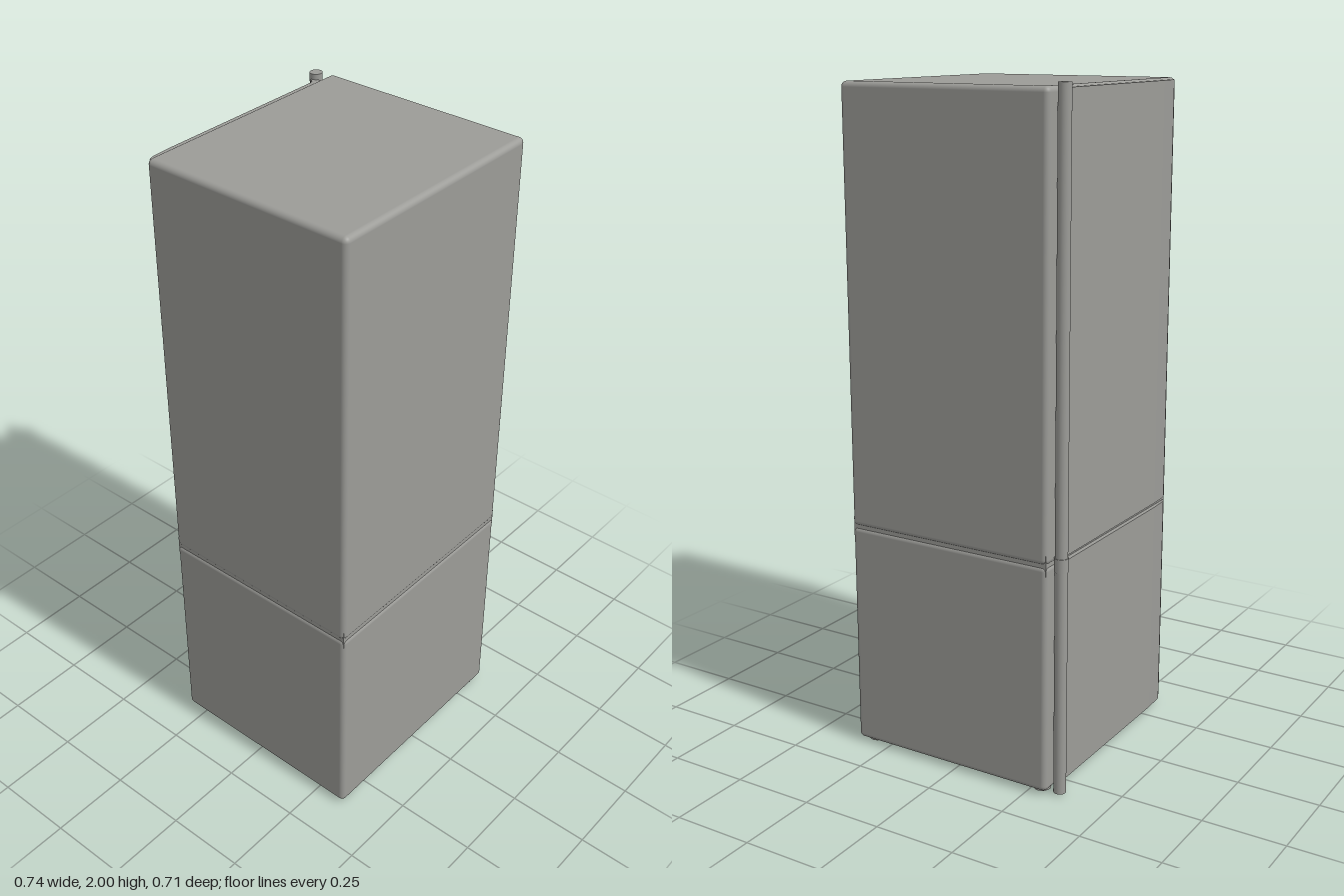
import * as THREE from 'three';
import { RoundedBoxGeometry } from 'three/addons/geometries/RoundedBoxGeometry.js';

export function createModel() {
  const model = new THREE.Group();
  model.name = 'cabinet';
  const grey = new THREE.MeshStandardMaterial({ color: 0x9c9c98 });
  grey.name = 'satin grey';

  const add = (name, geometry, x, y, z) => {
    const mesh = new THREE.Mesh(geometry, grey);
    mesh.name = name;
    mesh.position.set(x, y, z);
    model.add(mesh);
    return mesh;
  };

  const split = 0.7;
  const sections = [
    ['lower', 0.012, split - 0.001],
    ['upper', split + 0.001, 1.99],
  ];

  // Back panel outline, seen from above (x, -z), flaring into the pole
  const panel = new THREE.Shape();
  panel.moveTo(-0.362, 0.305);
  panel.quadraticCurveTo(-0.358, 0.317, -0.335, 0.32);
  panel.lineTo(-0.27, 0.323);
  panel.lineTo(0.285, 0.324);
  panel.quadraticCurveTo(0.299, 0.325, 0.302, 0.337);
  panel.lineTo(0.314, 0.342);
  panel.lineTo(0.33, 0.33);
  panel.quadraticCurveTo(0.314, 0.32, 0.312, 0.312);
  panel.lineTo(0.295, 0.305);
  panel.closePath();

  for (const [label, bottom, top] of sections) {
    // Rounded shell of each section; their rounded edges form the seam
    const height = top - bottom;
    add(label + 'Body', new RoundedBoxGeometry(0.738, height, 0.669, 4, 0.016),
      0, (top + bottom) / 2, 0.0205);

    // Thin panel over the back, stopping short of the seam
    const low = label === 'upper' ? split + 0.007 : 0.018;
    const high = label === 'upper' ? 1.984 : split - 0.007;
    const plate = new THREE.ExtrudeGeometry(panel, {
      depth: high - low, bevelEnabled: false, curveSegments: 6,
    });
    plate.rotateX(-Math.PI / 2);
    add(label + 'BackPanel', plate, 0, low, 0);
  }

  // Core that closes the bottom of the seam
  add('seamCore', new THREE.BoxGeometry(0.73, 0.06, 0.661), 0, split, 0.0205);

  // Full-height round pole on the back corner, with a small collar at the seam
  add('pole', new THREE.CylinderGeometry(0.0185, 0.0185, 1.995, 24), 0.326, 1.0025, -0.337);
  add('poleCollar', new THREE.CylinderGeometry(0.0205, 0.0205, 0.04, 24), 0.326, split, -0.337);

  // Four low feet
  for (const x of [-0.32, 0.32]) {
    for (const z of [-0.275, 0.317]) {
      add('foot', new THREE.CylinderGeometry(0.028, 0.026, 0.02, 16), x, 0.01, z);
    }
  }

  return model;
}
